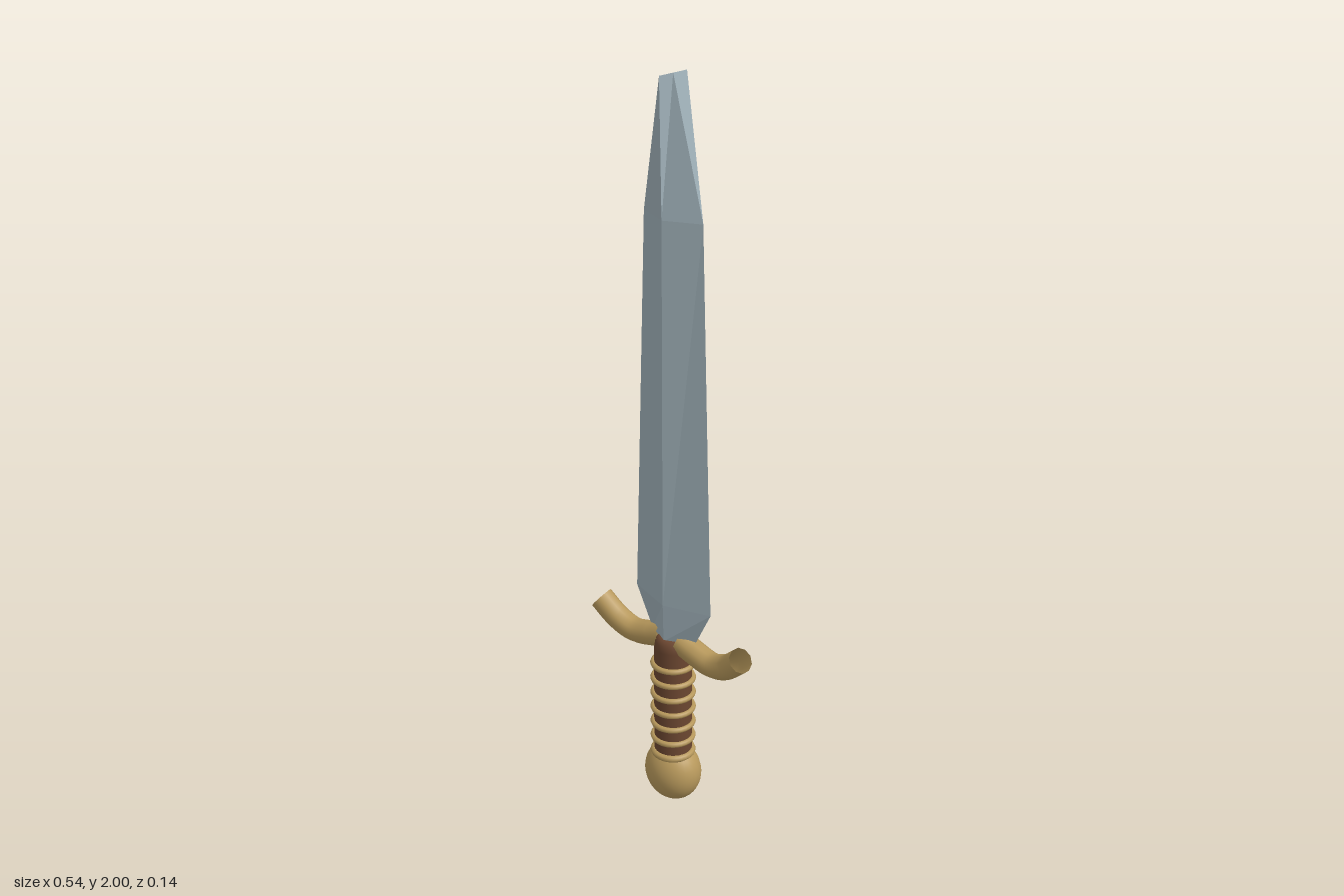
import * as THREE from 'three';

const material = (color, extra = {}) => new THREE.MeshStandardMaterial({ color, ...extra });

function add(parent, name, geometry, mat, x = 0, y = 0, z = 0) {
  const mesh = new THREE.Mesh(geometry, mat);
  mesh.name = name;
  mesh.position.set(x, y, z);
  parent.add(mesh);
  return mesh;
}

// Diamond cross-sections [y, half width, half depth], lofted upwards
function bladeGeometry(sections) {
  const corners = ([y, w, d]) => [[w, y, 0], [0, y, d], [-w, y, 0], [0, y, -d]];
  const points = [];
  const quad = (a, b, c, d) => points.push(...a, ...b, ...c, ...a, ...c, ...d);
  for (let i = 0; i < sections.length - 1; i++) {
    const low = corners(sections[i]);
    const high = corners(sections[i + 1]);
    for (let k = 0; k < 4; k++) {
      const n = (k + 1) % 4;
      quad(low[n], low[k], high[k], high[n]);
    }
  }
  const base = corners(sections[0]);
  quad(base[0], base[1], base[2], base[3]);
  const geometry = new THREE.BufferGeometry();
  geometry.setAttribute('position', new THREE.Float32BufferAttribute(points, 3));
  geometry.computeVertexNormals();
  return geometry;
}

export function createModel() {
  const model = new THREE.Group();
  model.name = 'dagger';
  const steel = material(0x9fb0b8, { flatShading: true, side: THREE.DoubleSide });
  const gold = material(0xb8995c, { side: THREE.DoubleSide });
  const leather = material(0x6b4630);

  // Blade: narrows to a chisel-like tip that keeps its depth
  add(model, 'blade', bladeGeometry([
    [0.51, 0.075, 0.038],
    [0.62, 0.13, 0.041],
    [1.66, 0.095, 0.041],
    [2.0, 0, 0.048],
  ]), steel);

  // Raised rib on the back of the blade
  add(model, 'backRib', new THREE.BoxGeometry(0.016, 0.76, 0.016), steel, 0, 1.02, -0.042);

  // Curved guard arms, open at the ends
  for (const side of [1, -1]) {
    const curve = new THREE.CatmullRomCurve3([
      [0.03, 0.505, 0], [0.075, 0.49, 0], [0.14, 0.478, 0.002], [0.195, 0.498, 0.008], [0.248, 0.543, 0.018],
    ].map(([x, y, z]) => new THREE.Vector3(side * x, y, z)));
    add(model, side > 0 ? 'leftGuardArm' : 'rightGuardArm',
      new THREE.TubeGeometry(curve, 20, 0.034, 10, false), gold);
  }

  // Grip with a bevelled top
  const gripProfile = [[0, 0.14], [0.052, 0.14], [0.052, 0.14], [0.051, 0.48], [0.048, 0.5], [0.038, 0.515], [0, 0.515]]
    .map(([r, y]) => new THREE.Vector2(r, y));
  add(model, 'grip', new THREE.LatheGeometry(gripProfile, 24), leather);

  // Wire rings around the grip
  for (let i = 0; i < 6; i++) {
    const ring = add(model, 'gripRing', new THREE.TorusGeometry(0.054, 0.008, 8, 28), gold, 0, 0.2 + i * 0.046, 0);
    ring.rotation.x = Math.PI / 2;
  }

  // Pommel and its collar
  const pommel = add(model, 'pommel', new THREE.SphereGeometry(1, 28, 18), gold, 0, 0.087, 0);
  pommel.scale.set(0.084, 0.087, 0.07);
  const collar = add(model, 'pommelCollar', new THREE.TorusGeometry(0.052, 0.01, 8, 28), gold, 0, 0.153, 0);
  collar.rotation.x = Math.PI / 2;

  return model;
}
